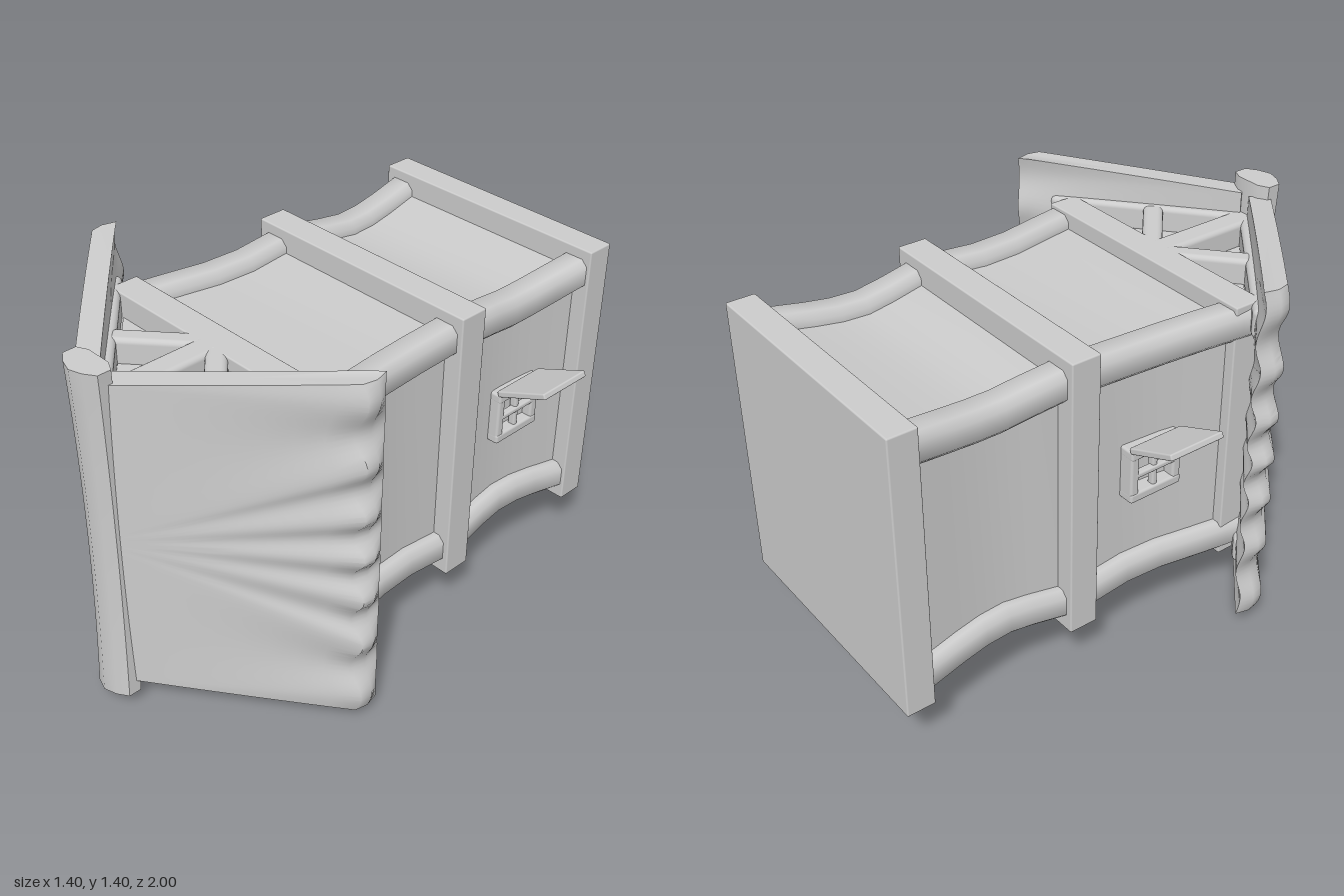
import * as THREE from 'three';
import { toCreasedNormals } from 'three/addons/utils/BufferGeometryUtils.js';
import { RoundedBoxGeometry } from 'three/addons/geometries/RoundedBoxGeometry.js';

const grey = new THREE.MeshStandardMaterial({ color: 0xcccccc });
const BODY_Y = 0.75, ROOF_Y = 0.735;

function add(parent, name, geometry, x = 0, y = 0, z = 0) {
  const mesh = new THREE.Mesh(geometry, grey);
  mesh.name = name;
  mesh.position.set(x, y, z);
  parent.add(mesh);
  return mesh;
}

function beam(parent, name, w, h, d, x, y, z, r = 0.006) {
  return add(parent, name, new RoundedBoxGeometry(w, h, d, 2, r), x, y, z);
}

// Closed solid through a row of rings, capped at both ends, always facing outward
function loft(rings, crease = 0.7) {
  const n = rings[0].length, tris = [];
  const quad = (a, b, c, d) => tris.push([a, b, c], [a, c, d]);
  for (let i = 0; i + 1 < rings.length; i++)
    for (let j = 0; j < n; j++) {
      const k = (j + 1) % n;
      quad(rings[i][j], rings[i][k], rings[i + 1][k], rings[i + 1][j]);
    }
  const cap = (ring, flip) => {
    const mid = ring.reduce((s, p) => s.add(p), new THREE.Vector3()).divideScalar(n);
    ring.forEach((p, j) => {
      const q = ring[(j + 1) % n];
      tris.push(flip ? [mid, q, p] : [mid, p, q]);
    });
  };
  cap(rings[0], true);
  cap(rings[rings.length - 1], false);
  const volume = tris.reduce((s, [a, b, c]) => s + a.dot(b.clone().cross(c)), 0);
  if (volume < 0) tris.forEach(t => t.reverse());
  const g = new THREE.BufferGeometry().setFromPoints(tris.flat());
  return toCreasedNormals(g, crease);
}

// Height along z with the half width and half depth of the bowed body
const bow = [
  [-0.92, 0.495, 0.515], [-0.75, 0.475, 0.49], [-0.65, 0.466, 0.478], [-0.55, 0.463, 0.475],
  [-0.45, 0.468, 0.488], [-0.3, 0.483, 0.51], [-0.2, 0.483, 0.508], [-0.05, 0.478, 0.497],
  [0.1, 0.487, 0.496], [0.25, 0.508, 0.502], [0.38, 0.527, 0.505], [0.47, 0.535, 0.505],
];

function addBody(g) {
  const inset = 0.05;
  add(g, 'walls', loft(bow.slice(0, -1).map(([z, hx, hy]) =>
    [[1, 1], [-1, 1], [-1, -1], [1, -1]].map(([sx, sy]) =>
      new THREE.Vector3(sx * (hx - inset), BODY_Y + sy * (hy - inset), z)))));

  // Chamfered corner posts that follow the bow
  const a = 0.06, b = 0.036;
  const section = [[a, b], [b, a], [-b, a], [-a, b], [-a, -b], [-b, -a], [b, -a], [a, -b]];
  for (const sx of [-1, 1]) for (const sy of [-1, 1])
    add(g, 'cornerPost', loft(bow.map(([z, hx, hy]) => section.map(([px, py]) =>
      new THREE.Vector3(sx * (hx - a) + px, BODY_Y + sy * (hy - a) + py, z))), 0.9));

  beam(g, 'baseSlab', 1.01, 1.1, 0.11, 0, BODY_Y, -0.945);
  beam(g, 'middleBand', 1.01, 1.1, 0.115, 0, BODY_Y, -0.27);
  beam(g, 'topBand', 1.03, 1.04, 0.115, 0, BODY_Y, 0.415);
}

// Window: local x points out of the wall, local y toward the shutter hinge
function addWindow(g, name, origin, out, side) {
  const win = new THREE.Group();
  win.name = name;
  const X = new THREE.Vector3(...out), Y = new THREE.Vector3(...side);
  win.quaternion.setFromRotationMatrix(new THREE.Matrix4().makeBasis(X, Y, X.clone().cross(Y)));
  win.position.set(...origin);
  for (const s of [-1, 1]) {
    beam(win, 'frameRail', 0.08, 0.038, 0.225, -0.025, s * 0.088, 0, 0.01);
    beam(win, 'frameStile', 0.075, 0.2, 0.036, -0.025, 0, s * 0.094, 0.01);
  }
  beam(win, 'mullion', 0.03, 0.18, 0.022, -0.008, 0, 0, 0.008);
  beam(win, 'glazingBar', 0.03, 0.022, 0.19, -0.002, 0, 0, 0.008);
  const shutter = beam(win, 'shutter', 0.225, 0.024, 0.23, 0.105, 0.155, 0);
  shutter.rotation.z = 0.4;
  g.add(win);
}

function addDoor(g) {
  const r = 0.175, zArch = -0.62;
  const path = [new THREE.Vector3(r, 0.29, -0.91), new THREE.Vector3(r, 0.3, -0.76)];
  for (let i = 0; i <= 12; i++) {
    const t = Math.PI * i / 12;
    path.push(new THREE.Vector3(r * Math.cos(t), 0.315, zArch + r * Math.sin(t)));
  }
  path.push(new THREE.Vector3(-r, 0.3, -0.76), new THREE.Vector3(-r, 0.29, -0.91));
  add(g, 'doorFrame', new THREE.TubeGeometry(new THREE.CatmullRomCurve3(path), 48, 0.024, 8));

  // Arched leaf, drawn flat and turned to face down
  const leaf = new THREE.Shape();
  leaf.moveTo(-r, -0.91);
  leaf.lineTo(r, -0.91);
  leaf.lineTo(r, zArch);
  leaf.absarc(0, zArch, r, 0, Math.PI);
  const geo = new THREE.ExtrudeGeometry(leaf, { depth: 0.04, bevelEnabled: false, curveSegments: 12 });
  geo.rotateX(Math.PI / 2);
  add(g, 'doorLeaf', geo, 0, 0.352, 0);
  add(g, 'doorKnob', new THREE.SphereGeometry(0.018, 12, 8), -0.09, 0.297, -0.73);
}

// Roof side with soft fanned ripples that end in a scalloped, bevelled eave
function roofPanel() {
  const rings = [], N = 72, M = 8, thick = 0.08;
  for (let i = 0; i <= N; i++) {
    const v = 2 * i / N - 1, t = Math.abs(v);
    const k = 4.2 * t - 0.95 * t * t;
    const dip = (1 - Math.cos(2 * Math.PI * k)) / 2;
    const fan = 0.1 * t + 0.9 * THREE.MathUtils.smoothstep(t, 0.5, 0.9);
    const point = (u, depth) => {
      const s = u - 0.055 * dip * u * u * (1 - depth / thick);
      const d = depth + 0.022 * dip * u * u;
      const y = Math.sign(v) * THREE.MathUtils.lerp(0.615 * fan, 0.675 * t, Math.min(u, 1));
      return new THREE.Vector3(0.07 + 0.625 * s - 0.64 * d, y, 0.935 - 0.52 * s - 0.77 * d);
    };
    const ring = [];
    for (let j = 0; j <= M; j++) ring.push(point(j / M, 0));
    ring.push(point(1.04, 0.03), point(1.05, thick));
    for (let j = M; j >= 0; j--) ring.push(point(j / M, thick));
    rings.push(ring);
  }
  return loft(rings, 0.75);
}

function addRoof(g) {
  const roof = new THREE.Group();
  roof.name = 'roof';
  roof.position.y = ROOF_Y;
  g.add(roof);
  const panel = roofPanel();
  for (const turn of [0, Math.PI])
    add(roof, 'roofPanel', panel).rotation.z = turn;

  // Ridge beam, slightly slimmer at the middle
  const section = [[0.09, 0.905], [0.09, 0.955], [0.05, 0.982], [0, 0.998], [-0.05, 0.982],
    [-0.09, 0.955], [-0.09, 0.905], [-0.05, 0.885], [0.05, 0.885]];
  const rings = [];
  for (let i = 0; i <= 12; i++) {
    const v = i / 6 - 1, f = 0.9 + 0.1 * v * v;
    rings.push(section.map(([x, z]) =>
      new THREE.Vector3(x * f, 0.667 * v, z - 0.015 * (1 - v * v))));
  }
  add(roof, 'ridgeBeam', loft(rings, 0.9));

  // Gable wall filling the space under the panels
  const tri = new THREE.Shape([[-0.5, 0.43], [0.5, 0.43], [0, 0.86]].map(p => new THREE.Vector2(...p)));
  const gable = new THREE.ExtrudeGeometry(tri, { depth: 0.88, bevelEnabled: false });
  gable.rotateX(Math.PI / 2);
  add(roof, 'gableWall', gable, 0, 0.44, 0);

  // Timber framing on both gables
  const strut = (name, x0, z0, x1, z1, w, y) => {
    const m = beam(roof, name, Math.hypot(x1 - x0, z1 - z0), 0.11, w, (x0 + x1) / 2, y, (z0 + z1) / 2, 0.02);
    m.rotation.y = -Math.atan2(z1 - z0, x1 - x0);
  };
  for (const y of [-0.48, 0.48]) {
    strut('kingPost', 0, 0.44, 0, 0.9, 0.1, y);
    for (const s of [-1, 1]) {
      strut('gableBrace', s * 0.03, 0.45, s * 0.27, 0.66, 0.075, y);
      strut('rafter', s * 0.025, 0.875, s * 0.58, 0.413, 0.065, y);
    }
  }
}

export function createModel() {
  const g = new THREE.Group();
  g.name = 'cottage';
  addBody(g);
  addDoor(g);
  addWindow(g, 'leftWindow', [0.445, 0.735, -0.615], [1, 0, 0], [0, 1, 0]);
  addWindow(g, 'rightWindow', [-0.475, 0.735, 0.055], [-1, 0, 0], [0, 1, 0]);
  addWindow(g, 'lowerWindow', [0, 0.22, 0.055], [0, -1, 0], [-1, 0, 0]);
  addRoof(g);
  return g;
}
